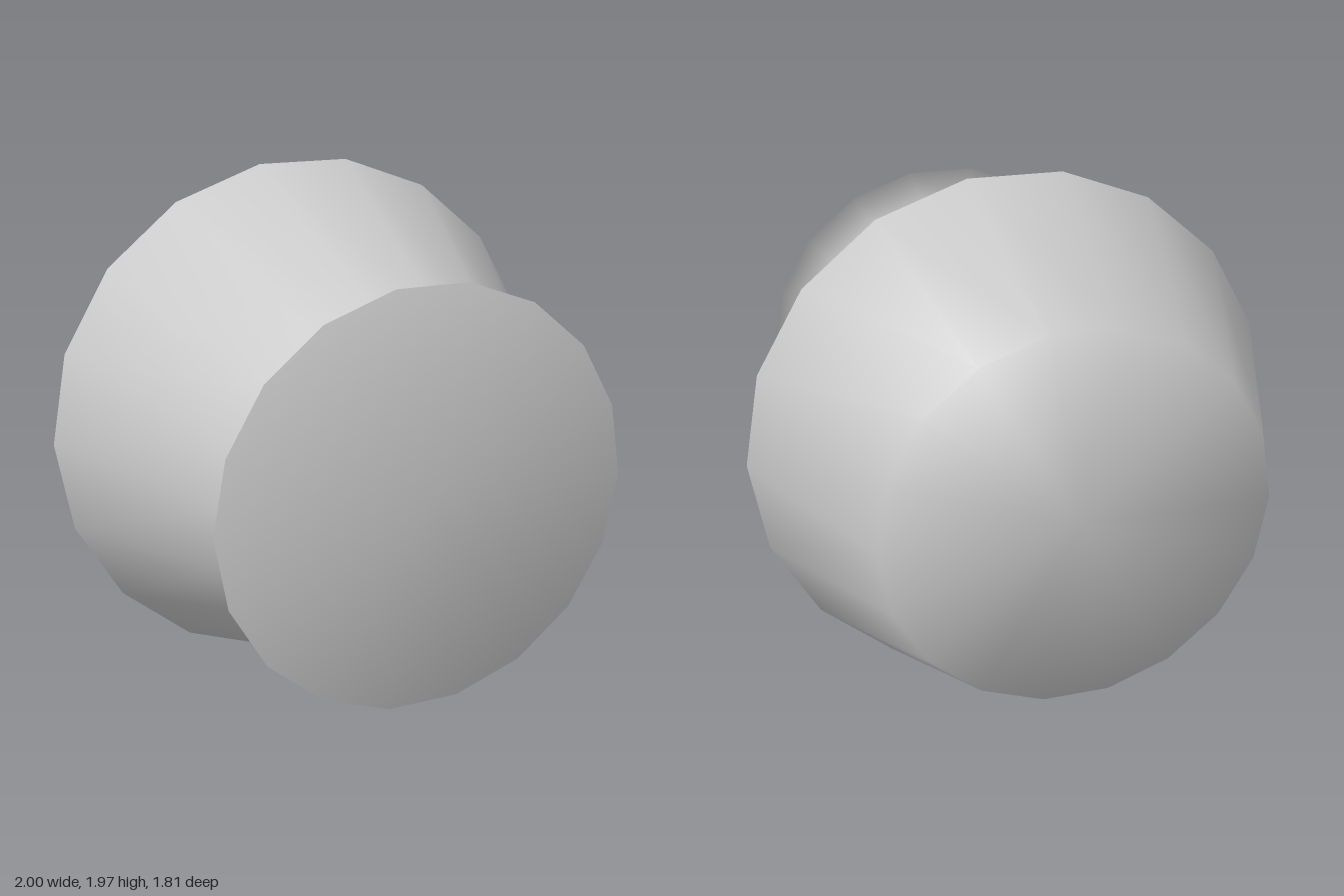
import * as THREE from 'three';

const SIDES = 18;
const CENTRE_Y = 0.985; // rests on the flat lowest edge

// Radius and z along the axis, from the closed back to the flared, closed front
const PROFILE = [
  [0, -0.905],
  [0.685, -0.905], // back rim
  [1, -0.16],      // widest belly
  [0.625, 0.72],   // neck
  [0.747, 0.905],  // front lip
  [0, 0.905],
];

export function createModel() {
  const group = new THREE.Group();
  group.name = 'barrelKnob';

  const grey = new THREE.MeshStandardMaterial({ color: 0xcccccc });
  grey.name = 'plain grey';

  // Smooth low-sided turned body, axis laid along z with a vertex at +x
  const points = PROFILE.map(([r, z]) => new THREE.Vector2(r, z));
  const geometry = new THREE.LatheGeometry(points, SIDES, Math.PI / SIDES, Math.PI * 2);
  geometry.rotateX(Math.PI / 2);

  const body = new THREE.Mesh(geometry, grey);
  body.name = 'turnedBody';
  body.position.y = CENTRE_Y;
  group.add(body);

  return group;
}
